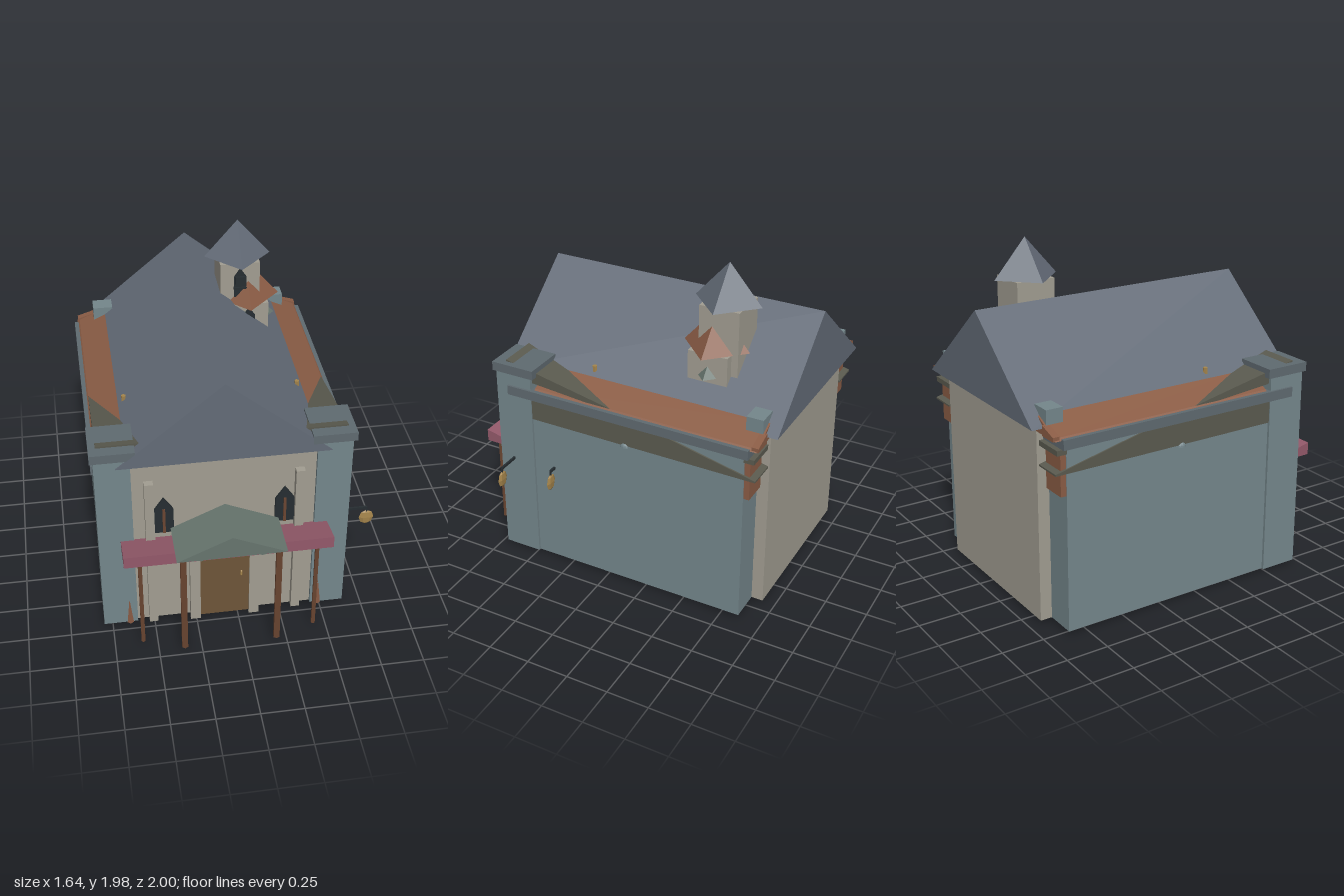
import * as THREE from 'three';

const COLORS = {
  stone: 0xa19d91, slate: 0x74868b, roof: 0x636b77, clay: 0x8a5c45, olive: 0x5a5a4f, pink: 0x93596a,
  green: 0x67756e, door: 0x6e5539, wood: 0x6b4632, gold: 0xa5854c, dark: 0x262d31, trim: 0x5f6a70,
};

export function createModel() {
  const church = new THREE.Group();
  church.name = 'church';
  church.position.x = -0.08; // parts below are symmetric about the nave axis
  const mats = {};
  for (const key in COLORS) {
    mats[key] = new THREE.MeshStandardMaterial({ color: COLORS[key], flatShading: true });
  }

  const add = (name, color, geometry) => {
    const mesh = new THREE.Mesh(geometry, mats[color]);
    mesh.name = name;
    church.add(mesh);
    return mesh;
  };
  const box = (name, color, x0, x1, y0, y1, z0, z1) =>
    add(name, color, new THREE.BoxGeometry(Math.abs(x1 - x0), y1 - y0, z1 - z0)
      .translate((x0 + x1) / 2, (y0 + y1) / 2, (z0 + z1) / 2));
  const extrude = (points, depth) => new THREE.ExtrudeGeometry(
    new THREE.Shape(points.map(([x, y]) => new THREE.Vector2(x, y))), { depth, bevelEnabled: false });
  // outline in x,y pushed along z
  const prismZ = (name, color, points, z0, z1) =>
    add(name, color, extrude(points, z1 - z0).translate(0, 0, z0));
  // outline in z,y pushed along x
  const prismX = (name, color, points, xa, xb) =>
    add(name, color, extrude(points, Math.abs(xb - xa)).rotateY(-Math.PI / 2).translate(Math.max(xa, xb), 0, 0));
  // four-sided spire with its corners on the axes
  const spire = (name, color, x, y, z) =>
    add(name, color, new THREE.ConeGeometry(0.2, 0.23, 4).translate(x, y + 0.115, z));
  const post = (name, color, x, z, r, y0, y1) =>
    add(name, color, new THREE.CylinderGeometry(r, r, y1 - y0, 6).translate(x, (y0 + y1) / 2, z));
  const archWindow = (name, x, w, y0, y1, z0, z1) => {
    const s = y1 - w * 0.75;
    return prismZ(name, 'dark', [[x - w / 2, y0], [x + w / 2, y0], [x + w / 2, s], [x, y1], [x - w / 2, s]], z0, z1);
  };

  // nave and main roof
  box('nave', 'stone', -0.52, 0.52, 0.02, 1.18, -0.93, 0.69);
  box('frontCornice', 'stone', -0.52, 0.52, 1.15, 1.18, 0.69, 0.7);
  prismZ('mainRoof', 'roof', [[-0.6, 1.18], [0.6, 1.18], [0, 1.68]], -1, 0.72);

  for (const s of [-1, 1]) {
    // side aisle with corner tower
    box('aisle', 'slate', s * 0.5, s * 0.705, 0.02, 1.14, -0.86, 0.5);
    box('cornerTower', 'slate', s * 0.52, s * 0.72, 0.02, 1.235, 0.48, 0.71);
    box('towerCap', 'trim', s * 0.49, s * 0.74, 1.23, 1.285, 0.45, 0.72);
    // aisle roof, eaves and sloping slabs
    prismZ('aisleRoof', 'clay', [[s * 0.5, 1.14], [s * 0.715, 1.14], [s * 0.7, 1.155], [s * 0.53, 1.235], [s * 0.5, 1.235]], -0.93, 0.46);
    box('eaveBeam', 'trim', s * 0.5, s * 0.733, 1.09, 1.147, -0.89, 0.63);
    prismX('slopingRoof', 'olive', [[0.65, 1.2], [0.65, 1.295], [-0.05, 1.152], [-0.05, 1.14]], s * 0.36, s * 0.7);
    prismX('eaveSoffit', 'olive', [[0.48, 0.955], [0.48, 1.09], [-0.35, 1.09], [-0.93, 0.96], [-0.93, 0.95]], s * 0.54, s * 0.714);
    prismZ('cornerFlare', 'clay', [[s * 0.6, 1.14], [s * 0.71, 1.14], [s * 0.71, 1.165], [s * 0.6, 1.2]], -0.94, -0.9);
    // rear bracket, chimney and small fittings
    box('rearBracket', 'clay', s * 0.55, s * 0.7, 0.82, 1.08, -0.893, -0.86);
    box('rearLedge', 'olive', s * 0.53, s * 0.715, 1.06, 1.09, -0.92, -0.86);
    box('chimney', 'slate', s * 0.49, s * 0.61, 1.19, 1.28, -0.92, -0.82);
    post('roofFinial', 'gold', s * 0.505, 0.175, 0.014, 1.24, 1.285);
    add('wallStud', 'slate', new THREE.SphereGeometry(0.025, 8, 4, 0, Math.PI * 2, 0, Math.PI / 2)
      .scale(0.5, 1, 1).translate(s * 0.714, 0.94, -0.13));

    // facade
    box('pilaster', 'stone', s * 0.4, s * 0.452, 0.02, 1.06, 0.69, 0.73);
    box('doorJamb', 'stone', s * 0.145, s * 0.205, 0, 0.62, 0.69, 0.725);
    archWindow('facadeWindow', s * 0.345, 0.11, 0.69, 0.935, 0.68, 0.705);
    box('windowMullion', 'wood', s * 0.345 - 0.008, s * 0.345 + 0.008, 0.69, 0.86, 0.7, 0.712);
    add('baseOrnament', 'clay', new THREE.ConeGeometry(0.02, 0.18, 5).translate(s * 0.565, 0.11, 0.71));

    // canopy supports
    post('outerPost', 'wood', s * 0.505, 0.875, 0.013, 0.02, 0.64);
    post('innerPost', 'wood', s * 0.27, 0.955, 0.02, 0.02, 0.73);
    prismZ('porchBrace', 'green', [[s * 0.27, 0.72], [s * 0.12, 0.72], [s * 0.17, 0.695]], 0.93, 0.98);

    // footings
    for (const [z0, z1] of [[0.28, 0.41], [0.5, 0.55], [0.6, 0.65]]) {
      box('footing', 'stone', s * 0.145, s * 0.205, 0, 0.03, z0, z1);
    }
  }

  // door, canopy and porch gable
  box('door', 'door', -0.165, 0.165, 0.02, 0.62, 0.68, 0.715);
  add('doorKnob', 'gold', new THREE.CapsuleGeometry(0.007, 0.025, 3, 6).translate(0.098, 0.33, 0.72));
  prismX('canopy', 'pink', [[0.9, 0.625], [0.9, 0.7], [0.7, 0.655], [0.7, 0.625]], -0.595, 0.595);
  prismZ('porchGable', 'green', [[-0.31, 0.72], [0.31, 0.72], [0, 0.86]], 0.71, 1);

  // stacked belfry
  const bx = 0.265, bz = -0.54;
  box('belfry', 'stone', bx - 0.12, bx + 0.12, 1.36, 1.75, bz - 0.12, bz + 0.12);
  spire('belfrySpire', 'roof', bx, 1.75, bz);
  box('belfryBase', 'stone', 0.195, 0.435, 1.31, 1.49, -0.62, -0.38);
  spire('belfryMiddleRoof', 'clay', 0.315, 1.49, -0.5);
  spire('belfryLowerRoof', 'green', 0.29, 1.353, -0.5);
  archWindow('belfryWindow', bx, 0.075, 1.53, 1.72, -0.43, -0.41);
  archWindow('belfryLowerWindow', 0.315, 0.075, 1.36, 1.47, -0.39, -0.37);
  box('belfryWindowSill', 'dark', bx - 0.04, bx + 0.04, 1.585, 1.597, -0.42, -0.4);
  box('belfryLatch', 'dark', bx - 0.03, bx + 0.03, 1.62, 1.67, -0.42, -0.395);

  // hanging lanterns on the left wall
  for (const [x, z] of [[0.855, 0.62], [0.75, 0.35]]) {
    box('lanternRod', 'dark', 0.7, x, 0.645, 0.66, z - 0.006, z + 0.006);
    add('lantern', 'gold', new THREE.SphereGeometry(0.052, 6, 4).scale(0.85, 1, 0.24).translate(x, 0.58, z));
    box('lanternHook', 'dark', x - 0.004, x + 0.004, 0.62, 0.655, z - 0.004, z + 0.004);
  }
  return church;
}
